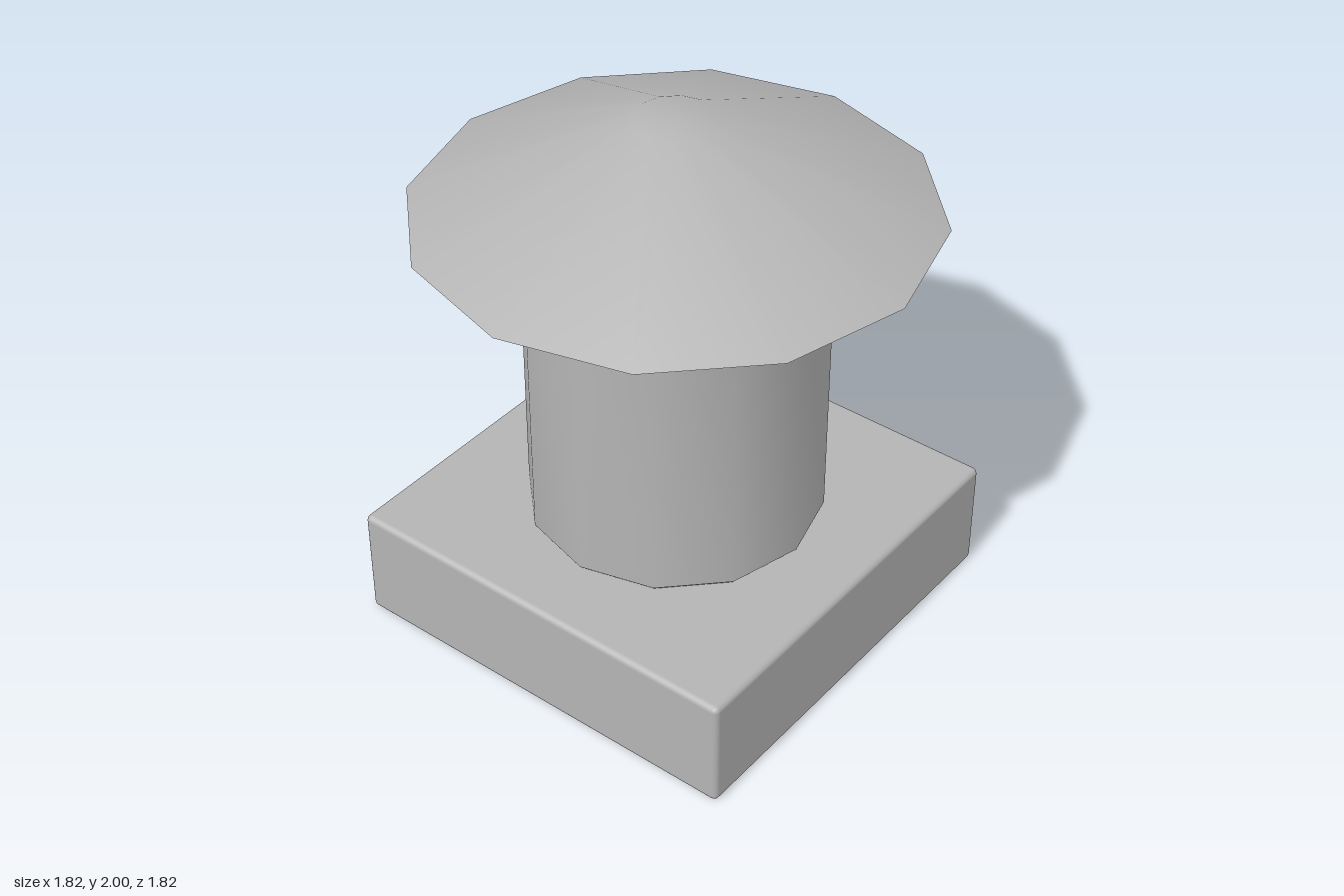
import * as THREE from 'three';
import { toCreasedNormals } from 'three/addons/utils/BufferGeometryUtils.js';
import { RoundedBoxGeometry } from 'three/addons/geometries/RoundedBoxGeometry.js';

const SIDES = 12;

export function createModel() {
  const model = new THREE.Group();
  model.name = 'roofVent';
  const metal = new THREE.MeshStandardMaterial({ color: 0xb4b4b4 });
  metal.name = 'grey metal';

  const add = (name, geometry) => {
    const mesh = new THREE.Mesh(geometry, metal);
    mesh.name = name;
    model.add(mesh);
    return mesh;
  };

  // Closed twelve-sided solid from [radius, height] points, bottom to top
  const turned = (name, points) => {
    const profile = points.map(([r, y]) => new THREE.Vector2(r, y));
    add(name, toCreasedNormals(new THREE.LatheGeometry(profile, SIDES), 0.6));
  };

  // Square plinth with small rounded edges
  add('base', new RoundedBoxGeometry(1.575, 0.43, 1.575, 2, 0.022)).position.y = 0.215;

  // Flue pipe with narrow chamfers at both ends
  turned('pipe', [[0, 0.425], [0.515, 0.425], [0.535, 0.445], [0.535, 1.555], [0.515, 1.575], [0, 1.575]]);

  // Bevelled collar between the pipe and the cap
  turned('collar', [[0, 1.573], [0.575, 1.573], [0.6, 1.595], [0.6, 1.635], [0.585, 1.652], [0, 1.652]]);

  // Wide conical rain cap with a small flat top
  turned('cap', [[0, 1.65], [0.908, 1.65], [0.14, 2], [0, 2]]);

  return model;
}
